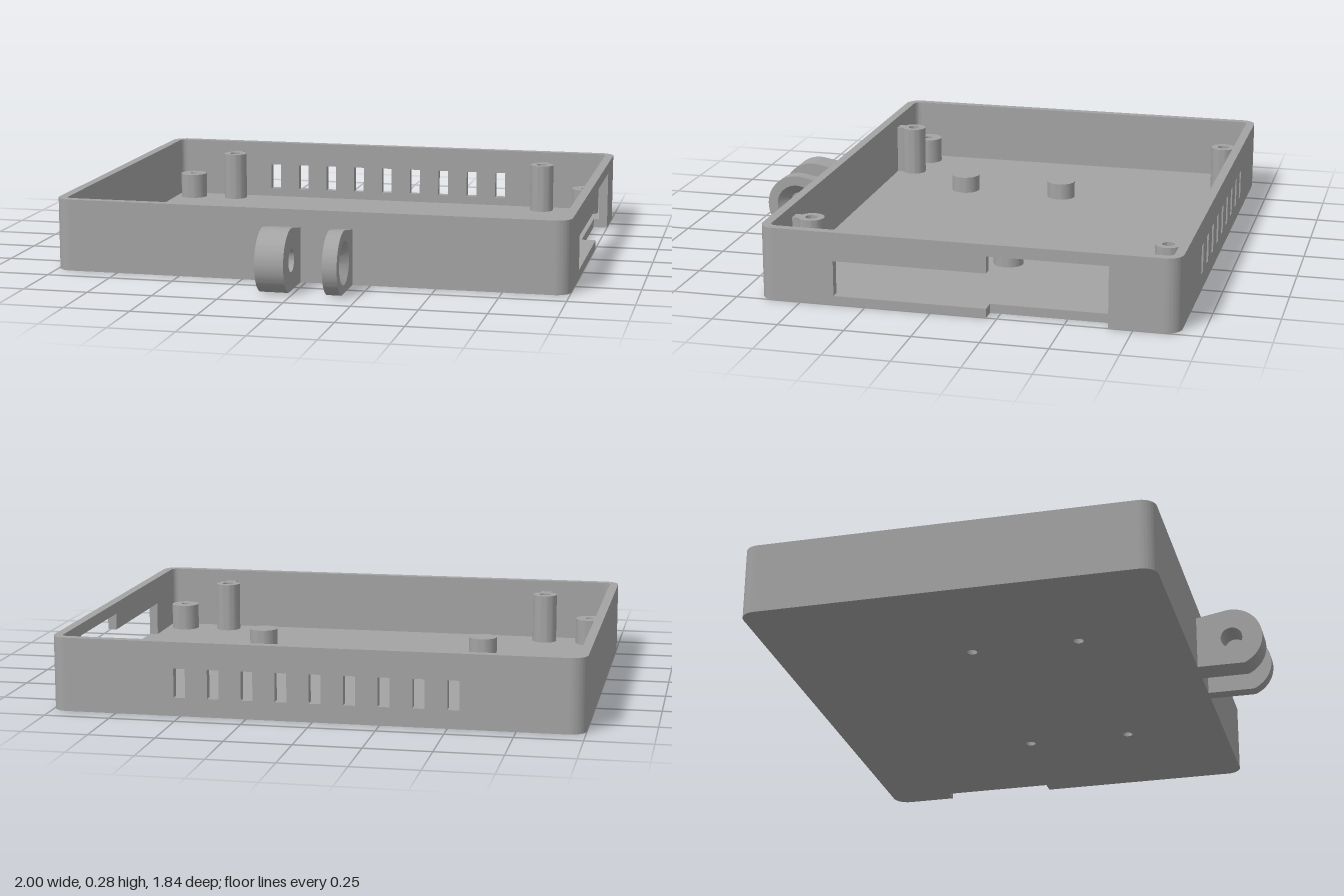
import * as THREE from 'three';
import { toCreasedNormals } from 'three/addons/utils/BufferGeometryUtils.js';

// Overall dimensions
const H = 0.28, T = 0.035, R = 0.06;
const BACK = -0.92, FRONT = 0.66;
const CX = 1 - R, CZ0 = BACK + R, CZ1 = FRONT - R;

export function createModel() {
  const model = new THREE.Group();
  model.name = 'openEnclosure';
  const grey = new THREE.MeshStandardMaterial({ color: 0xa3a3a3 });
  grey.name = 'plainGrey';

  const add = (name, geometry, x = 0, y = 0, z = 0) => {
    const mesh = new THREE.Mesh(geometry, grey);
    mesh.name = name;
    mesh.position.set(x, y, z);
    model.add(mesh);
    return mesh;
  };
  const box = (name, w, h, d, x, y, z) => add(name, new THREE.BoxGeometry(w, h, d), x, y, z);
  const extrude = (shape, depth) => toCreasedNormals(
    new THREE.ExtrudeGeometry(shape, { depth, bevelEnabled: false, curveSegments: 20 }), 0.5);
  const lathe = (pts) => toCreasedNormals(
    new THREE.LatheGeometry(pts.map(([x, y]) => new THREE.Vector2(x, y)), 40), 0.5);
  const polygon = (pts) => new THREE.Shape(pts.map(([x, y]) => new THREE.Vector2(x, y)));
  const circle = (x, y, r) => new THREE.Path().absarc(x, y, r, 0, Math.PI * 2, true);

  // Floor inside the walls, notched beside the port opening, with screw holes
  const standoffs = [];
  for (const x of [-0.47, 0.465]) for (const z of [-0.163, 0.258]) standoffs.push([x, z]);
  const r = R - T, fx = 1 - T;
  const floor = new THREE.Shape();
  floor.moveTo(-CX, -CZ1 - r);
  floor.absarc(CX, -CZ1, r, -Math.PI / 2, 0, false);
  for (const [x, z] of [[fx, -0.21], [0.943, -0.21], [0.943, -0.66], [fx, -0.66]]) floor.lineTo(x, -z);
  floor.absarc(CX, -CZ0, r, 0, Math.PI / 2, false);
  floor.absarc(-CX, -CZ0, r, Math.PI / 2, Math.PI, false);
  floor.absarc(-CX, -CZ1, r, Math.PI, Math.PI * 1.5, false);
  for (const [x, z] of standoffs) floor.holes.push(circle(x, -z, 0.02));
  add('floor', extrude(floor, T).rotateX(-Math.PI / 2));

  // Plain front and right-hand walls
  box('frontWall', 2 * CX, H, T, 0, H / 2, FRONT - T / 2);
  box('rightWall', T, H, CZ1 - CZ0, -1 + T / 2, H / 2, (CZ0 + CZ1) / 2);

  // Back wall with a row of vent slots
  const back = polygon([[-CX, 0], [CX, 0], [CX, H], [-CX, H]]);
  for (let i = 0; i < 9; i++) {
    const x = -0.01 + (i - 4) * 0.128, w = 0.022;
    back.holes.push(polygon([[x - w, 0.07], [x - w, 0.18], [x + w, 0.18], [x + w, 0.07]]));
  }
  add('ventedBackWall', extrude(back, T), 0, 0, BACK);

  // Left-hand wall with the stepped port opening (outline given as z, y)
  const side = polygon([
    [CZ0, 0], [-0.66, 0], [-0.66, 0.235], [-0.21, 0.235], [-0.21, 0.17], [0.37, 0.17],
    [0.37, T], [-0.21, T], [-0.21, 0], [CZ1, 0], [CZ1, H], [CZ0, H],
  ].map(([z, y]) => [-z, y]));
  add('portWall', extrude(side, T).rotateY(Math.PI / 2), 1 - T);

  // Rounded corners
  const quarter = new THREE.Shape();
  quarter.absarc(0, 0, R, 0, Math.PI / 2, false);
  quarter.absarc(0, 0, r, Math.PI / 2, 0, true);
  const cornerGeometry = extrude(quarter, H).rotateX(-Math.PI / 2);
  [[CX, CZ0], [-CX, CZ0], [-CX, CZ1], [CX, CZ1]].forEach(([x, z], k) => {
    add('cornerWall', cornerGeometry, x, 0, z).rotation.y = k * Math.PI / 2;
  });

  // Standoffs, bored from below
  const standoff = lathe([[0, 0.08], [0.02, 0.08], [0.02, T], [0.058, T], [0.058, 0.102], [0, 0.102]]);
  for (const [x, z] of standoffs) add('standoff', standoff, x, 0, z);

  // Short corner posts and tall ribbed lid posts, bored from above
  const post = (rad, top, hole) => lathe(
    [[rad, 0.02], [rad, top], [hole, top], [hole, 0.06], [0, 0.06]]);
  const shortPost = post(0.057, 0.14, 0.016), tallPost = post(0.05, 0.235, 0.023);
  for (const s of [-1, 1]) {
    for (const z of [-0.81, 0.542]) add('cornerPost', shortPost, s * 0.887, 0, z);
    for (const [z, dir] of [[-0.822, -1], [0.555, 1]]) {
      add('lidPost', tallPost, s * 0.695, 0, z);
      box('lidPostRib', 0.045, 0.215, 0.045, s * 0.695, 0.1275, z + dir * 0.0575);
    }
  }

  // Hinge lugs on the front
  const lug = (name, x, width, hole) => {
    const cy = 0.113, rad = 0.122, deg = Math.PI / 180;
    const shape = new THREE.Shape();
    shape.moveTo(-0.64, 0);
    shape.lineTo(-0.64, 0.209);
    shape.absarc(-0.798, cy, rad, 80 * deg, 247.8 * deg, false);
    shape.holes.push(circle(-0.798, cy, hole));
    add(name, extrude(shape, width).rotateY(Math.PI / 2), x);
  };
  lug('wideLug', -0.13, 0.11, 0.043);
  lug('narrowLug', 0.125, 0.015, 0.043);
  lug('narrowLugOuter', 0.14, 0.041, 0.083);
  add('countersink', lathe([[0.083, 0.041], [0.043, 0]]).rotateZ(-Math.PI / 2), 0.14, 0.113, 0.798);

  return model;
}
